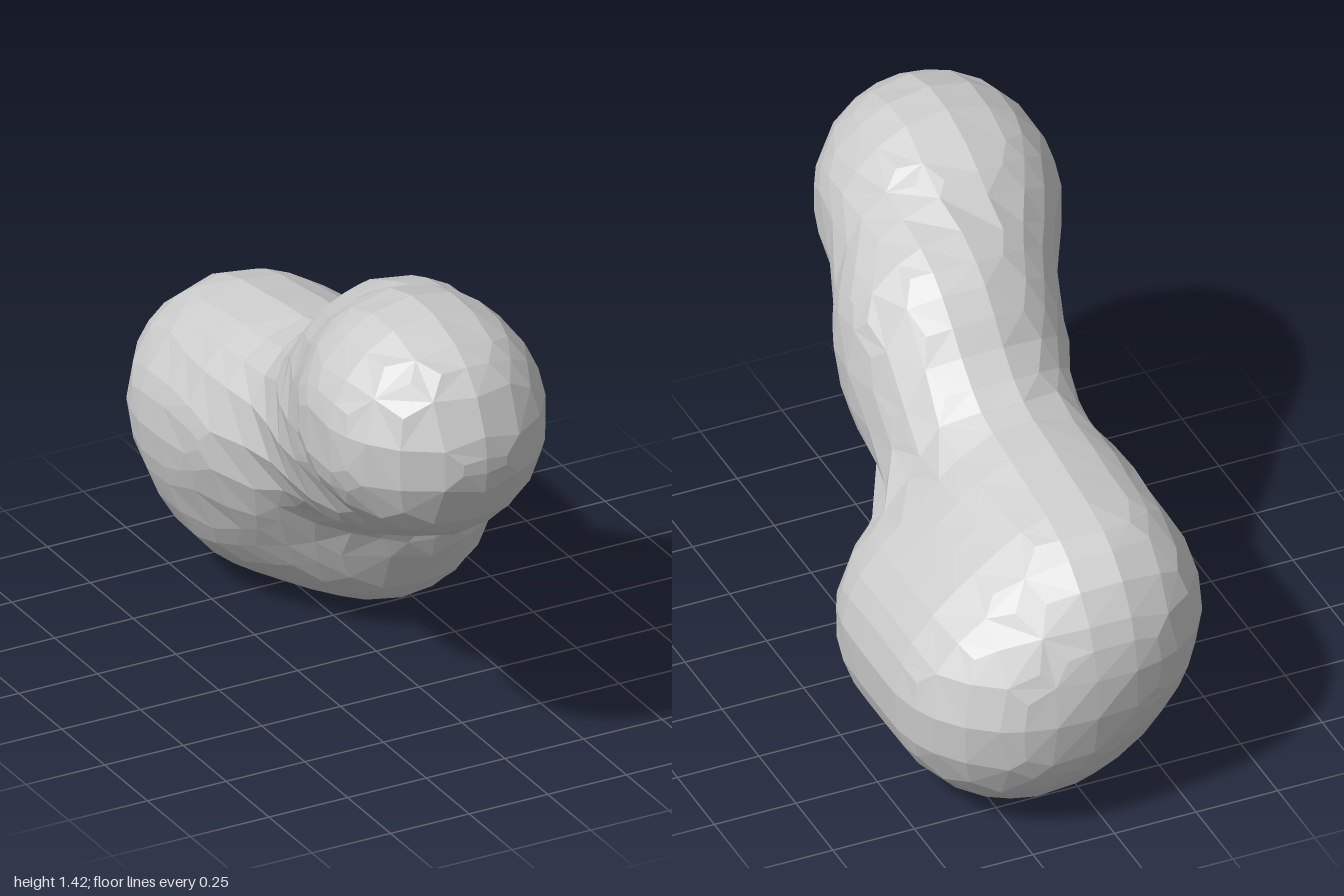
import * as THREE from 'three';

// Soft balls: x, y, z, radius
const BALLS = [
  // front bulb
  [-0.2, 1.075, 0.687, 0.309], [-0.18, 1.067, 0.54, 0.306],
  // neck
  [-0.045, 0.96, 0.24, 0.29], [-0.05, 0.79, 0.2, 0.285], [-0.03, 0.73, -0.02, 0.255],
  // upper rear lobe
  [-0.05, 0.595, -0.35, 0.315], [-0.06, 0.545, -0.65, 0.325],
  // lower rear lobe and its inner fullness
  [0.173, 0.355, -0.315, 0.338], [0.173, 0.36, -0.645, 0.338], [0, 0.36, -0.58, 0.31],
];
const BLEND = 16;
const STEP = 0.1215;
const ORIGIN = [-0.74, -0.145, -1.2];
const COUNT = [13, 15, 20];

// Smooth union of the balls: negative inside
function field(x, y, z) {
  let sum = 0;
  for (const [bx, by, bz, r] of BALLS) {
    sum += Math.exp(-BLEND * (Math.hypot(x - bx, y - by, z - bz) - r));
  }
  return -Math.log(sum) / BLEND;
}

// Slide a point along the gradient towards the surface, in short steps
function project(p) {
  const e = 0.001;
  for (let n = 0; n < 3; n++) {
    const f = field(p.x, p.y, p.z);
    const g = new THREE.Vector3(
      field(p.x + e, p.y, p.z) - f,
      field(p.x, p.y + e, p.z) - f,
      field(p.x, p.y, p.z + e) - f
    ).divideScalar(e);
    p.addScaledVector(g, -f / Math.max(g.lengthSq(), 0.6));
  }
  return p;
}

// Coarse grid skin: one vertex per crossed cell, one quad per crossed edge
function blobGeometry() {
  const at = (c) => c.map((v, a) => ORIGIN[a] + v * STEP);
  const value = (c) => field(...at(c));
  const axes = [[1, 0, 0], [0, 1, 0], [0, 0, 1]];
  const add = (c, d, s = 1) => c.map((v, a) => v + d[a] * s);
  const cache = new Map();

  // Average of the edge crossings in a cell, moved onto the surface
  function cellVertex(cell) {
    const key = cell.join();
    if (cache.has(key)) return cache.get(key);
    const p = new THREE.Vector3();
    let hits = 0;
    for (let a = 0; a < 3; a++) {
      for (let n = 0; n < 4; n++) {
        let c = add(cell, axes[(a + 1) % 3], n & 1);
        c = add(c, axes[(a + 2) % 3], n >> 1);
        const f0 = value(c), f1 = value(add(c, axes[a]));
        if ((f0 < 0) === (f1 < 0)) continue;
        p.add(new THREE.Vector3(...at(add(c, axes[a], f0 / (f0 - f1)))));
        hits++;
      }
    }
    project(p.divideScalar(hits));
    cache.set(key, p);
    return p;
  }

  const positions = [];
  for (let i = 1; i < COUNT[0]; i++)
    for (let j = 1; j < COUNT[1]; j++)
      for (let k = 1; k < COUNT[2]; k++)
        for (let a = 0; a < 3; a++) {
          const c = [i, j, k];
          const inside = value(c) < 0;
          if (inside === value(add(c, axes[a])) < 0) continue;
          const u = axes[(a + 1) % 3], v = axes[(a + 2) % 3];
          const quad = [
            add(add(c, u, -1), v, -1), add(c, v, -1), c, add(c, u, -1),
          ].map(cellVertex);
          if (!inside) quad.reverse();
          for (const n of [0, 1, 2, 0, 2, 3]) positions.push(...quad[n].toArray());
        }

  const geometry = new THREE.BufferGeometry();
  geometry.setAttribute('position', new THREE.Float32BufferAttribute(positions, 3));
  geometry.computeVertexNormals();
  return geometry;
}

export function createModel() {
  const group = new THREE.Group();
  group.name = 'blob';
  const skin = new THREE.Mesh(
    blobGeometry(),
    new THREE.MeshStandardMaterial({ color: 0xcccccc, flatShading: true })
  );
  skin.name = 'blobSkin';
  group.add(skin);
  return group;
}
